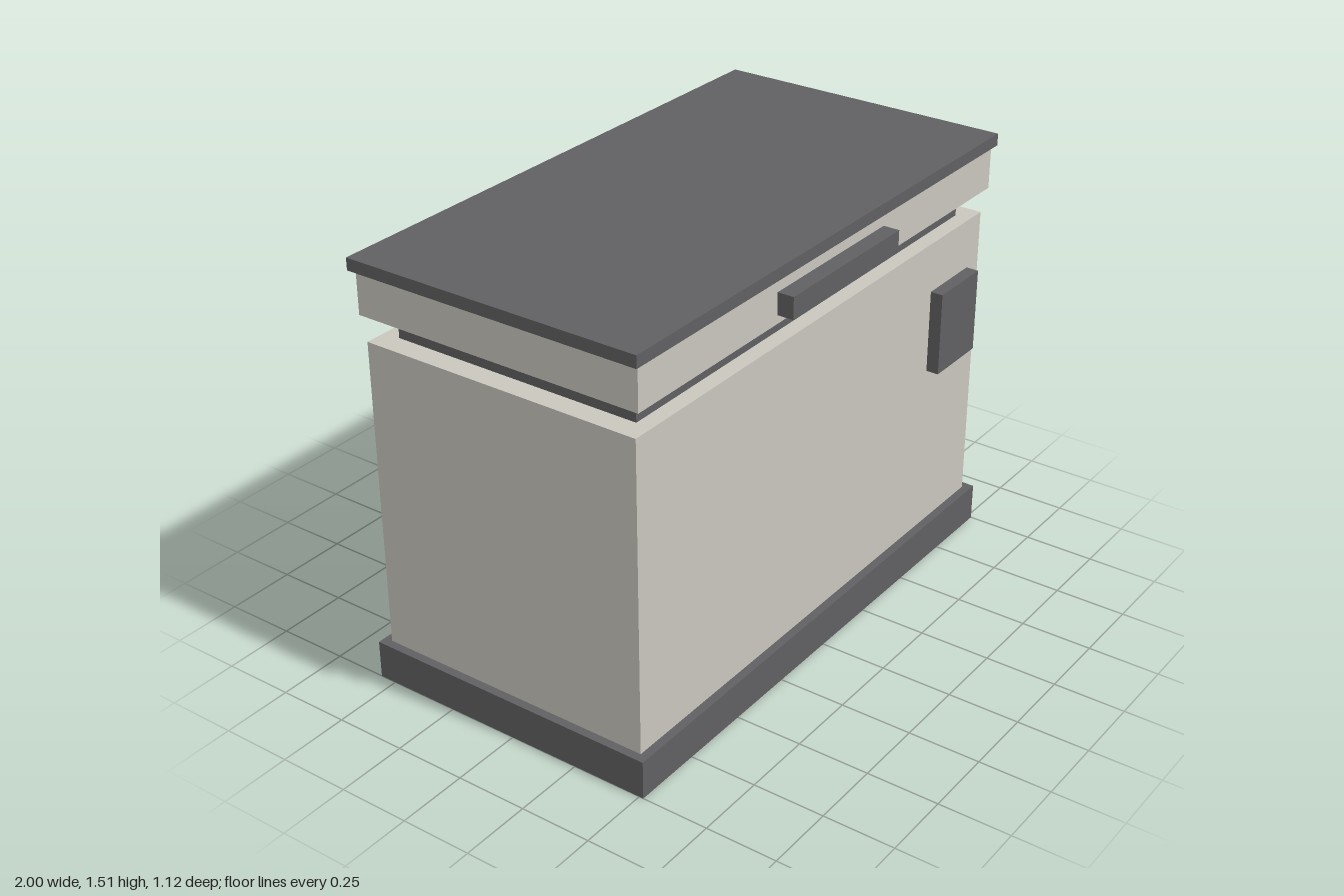
import * as THREE from 'three';

const lightPanel = new THREE.MeshStandardMaterial({ color: 0xc9c6be });
lightPanel.name = 'light panel';
const darkTrim = new THREE.MeshStandardMaterial({ color: 0x606062 });
darkTrim.name = 'dark trim';

// Box given by its extents on each axis
function block(name, material, [x0, x1], [y0, y1], [z0, z1]) {
  const mesh = new THREE.Mesh(new THREE.BoxGeometry(x1 - x0, y1 - y0, z1 - z0), material);
  mesh.position.set((x0 + x1) / 2, (y0 + y1) / 2, (z0 + z1) / 2);
  mesh.name = name;
  return mesh;
}

// Rectangular outline in plan; shape y becomes -z once laid flat
function trace(path, [x0, x1], [z0, z1]) {
  path.moveTo(x0, -z1);
  path.lineTo(x1, -z1);
  path.lineTo(x1, -z0);
  path.lineTo(x0, -z0);
  path.closePath();
  return path;
}

export function createModel() {
  const group = new THREE.Group();
  group.name = 'storageChest';
  const bodyX = [-0.97, 0.97];
  const bodyZ = [-0.53, 0.485];

  // Plinth frame wrapped around the foot of the body
  const outline = trace(new THREE.Shape(), [-1, 1], [-0.56, 0.515]);
  outline.holes.push(trace(new THREE.Path(), bodyX, bodyZ));
  const plinthGeometry = new THREE.ExtrudeGeometry(outline, { depth: 0.135, bevelEnabled: false });
  plinthGeometry.rotateX(-Math.PI / 2);
  const plinth = new THREE.Mesh(plinthGeometry, darkTrim);
  plinth.name = 'plinth';

  group.add(
    plinth,
    block('body', lightPanel, bodyX, [0, 1.225], bodyZ),
    // Recessed seal between body and lid
    block('seal', darkTrim, [-0.895, 0.895], [1.225, 1.315], [-0.47, 0.43]),
    block('lid', lightPanel, [-0.98, 0.98], [1.315, 1.465], [-0.545, 0.503]),
    block('lidTop', darkTrim, [-1, 1], [1.465, 1.507], [-0.56, 0.515]),
    // Front fittings
    block('handle', darkTrim, [-0.3, 0.295], [1.345, 1.42], [0.503, 0.56]),
    block('controlPanel', darkTrim, [0.655, 0.895], [0.747, 1.045], [0.485, 0.53]),
  );
  return group;
}
